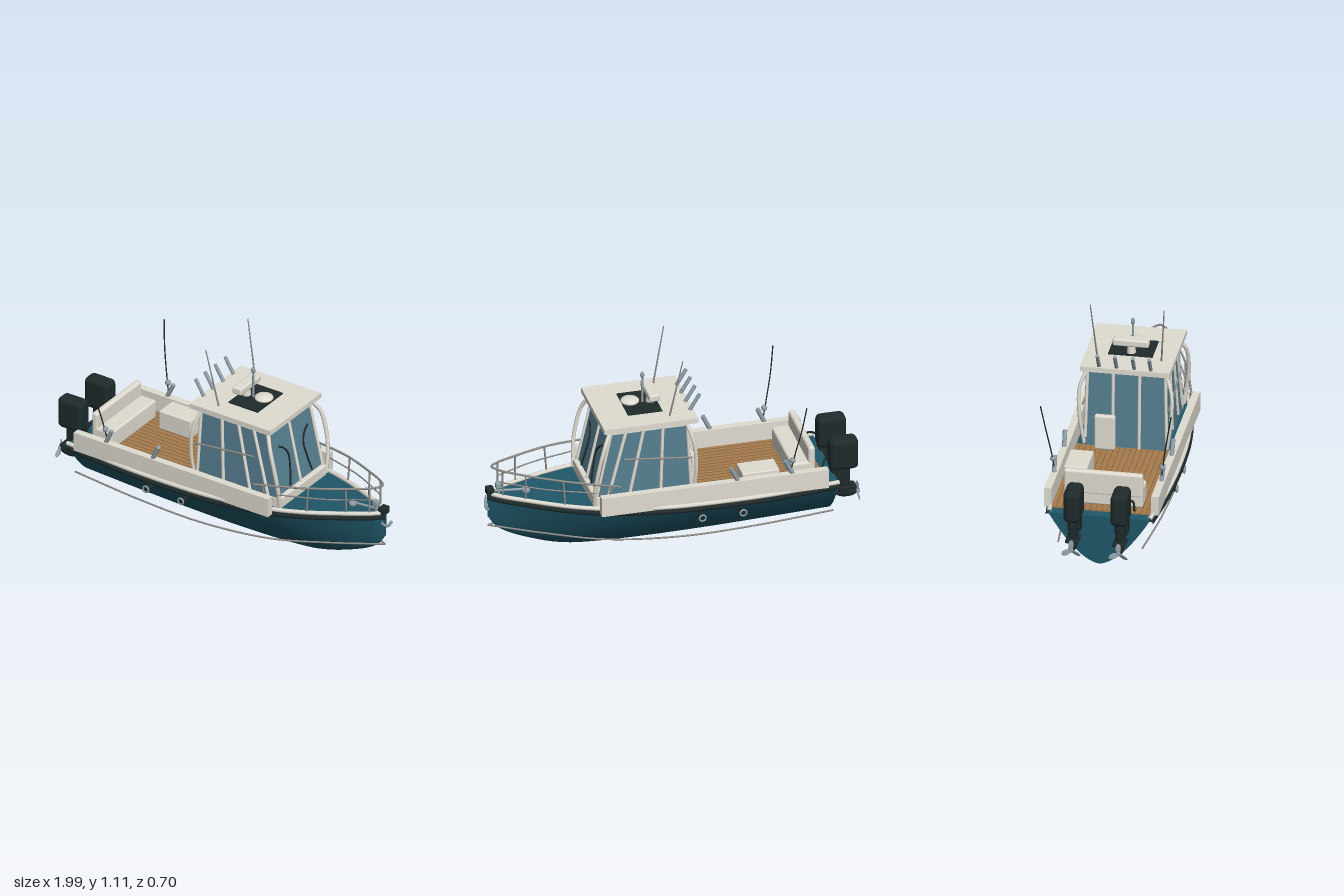
import * as THREE from 'three';
import { RoundedBoxGeometry } from 'three/addons/geometries/RoundedBoxGeometry.js';

const V = (x, y, z) => new THREE.Vector3(x, y, z);

export function createModel() {
  const boat = new THREE.Group();
  boat.name = 'motorBoat';
  const paint = (name, color, side = THREE.FrontSide) => {
    const m = new THREE.MeshStandardMaterial({ color, side });
    m.name = name;
    return m;
  };
  const teal = paint('hullTeal', 0x1f5769, THREE.DoubleSide);
  const white = paint('gelcoatWhite', 0xe0dcd2);
  const glass = paint('windowBlue', 0x567f90);
  const black = paint('black', 0x1f2a2b);
  const teak = paint('teak', 0xa67c4e);
  const seam = paint('teakSeam', 0x7d5a35);
  const metal = paint('metal', 0x8f9fa8);
  const rail = paint('railGrey', 0x8e8c88);

  // Helpers
  const add = (name, geo, mat, x = 0, y = 0, z = 0) => {
    const m = new THREE.Mesh(geo, mat);
    m.name = name;
    m.position.set(x, y, z);
    boat.add(m);
    return m;
  };
  // Box given by its minimum and maximum corners, optionally rounded
  const box = (name, mat, [x0, y0, z0], [x1, y1, z1], r = 0) => {
    const s = [x1 - x0, y1 - y0, z1 - z0];
    const g = r ? new RoundedBoxGeometry(...s, 3, r) : new THREE.BoxGeometry(...s);
    return add(name, g, mat, (x0 + x1) / 2, (y0 + y1) / 2, (z0 + z1) / 2);
  };
  // Straight cylinder between two points
  const rod = (name, mat, a, b, r, r2 = r) => {
    const d = b.clone().sub(a);
    const m = add(name, new THREE.CylinderGeometry(r2, r, d.length(), 12), mat);
    m.position.copy(a).add(b).multiplyScalar(0.5);
    m.quaternion.setFromUnitVectors(V(0, 1, 0), d.normalize());
    return m;
  };
  const tube = (name, mat, pts, r, n = 32) =>
    add(name, new THREE.TubeGeometry(new THREE.CatmullRomCurve3(pts), n, r, 8), mat);
  const ball = (name, mat, x, y, z, rx, ry = rx, rz = rx) => {
    const m = add(name, new THREE.SphereGeometry(1, 20, 14), mat, x, y, z);
    m.scale.set(rx, ry, rz);
    return m;
  };
  const bothSides = (fn) => [1, -1].forEach(fn);
  const mirrored = (pts) => [...pts, ...pts.slice(0, -1).reverse().map((p) => V(p.x, p.y, -p.z))];
  // Smooth surface from a function of u and v
  const grid = (fn, nu, nv) => {
    const pos = [], idx = [];
    for (let i = 0; i <= nu; i++) for (let j = 0; j <= nv; j++) {
      pos.push(...fn(i / nu, j / nv));
      if (i < nu && j < nv) {
        const a = i * (nv + 1) + j, b = a + nv + 1;
        idx.push(a, b, a + 1, b, b + 1, a + 1);
      }
    }
    const g = new THREE.BufferGeometry();
    g.setAttribute('position', new THREE.Float32BufferAttribute(pos, 3));
    g.setIndex(idx);
    g.computeVertexNormals();
    return g;
  };

  // Hull stations: x, half beam, sheer height, keel height
  const stations = [
    [-0.85, 0.27, 0.305, 0.03], [-0.5, 0.305, 0.303, 0.02], [-0.2, 0.315, 0.305, 0.01],
    [0.1, 0.305, 0.308, 0.003], [0.4, 0.26, 0.318, 0.002], [0.6, 0.2, 0.33, 0.02],
    [0.8, 0.11, 0.345, 0.085], [0.92, 0.05, 0.355, 0.15], [0.978, 0.006, 0.36, 0.225],
  ];
  const sheerPts = stations.map(([x, b, y]) => V(x, y, b));
  const sheer = new THREE.CatmullRomCurve3(sheerPts, false, 'catmullrom');
  const keel = new THREE.CatmullRomCurve3(stations.map(([x, , , k]) => V(x, k, 0)), false, 'catmullrom');
  const hullPoint = (u, s) => {
    const a = sheer.getPoint(u), k = Math.max(0, keel.getPoint(u).y);
    return [a.x, k + (a.y - k) * Math.abs(s) ** 1.667, a.z * s];
  };
  add('hull', grid((u, v) => hullPoint(u, 2 * v - 1), 48, 32), teal);
  add('deck', grid((u, v) => {
    const a = sheer.getPoint(u);
    return [a.x, a.y, a.z * (1 - 2 * v)];
  }, 48, 2), teal);
  add('transom', grid((u, v) => {
    const [x, y, z] = hullPoint(0, 1 - 2 * v);
    return [x, y + (0.305 - y) * u, z];
  }, 1, 32), teal);
  const shifted = (dy, dz) => sheerPts.map((p) => V(p.x, p.y + dy, p.z + dz));

  bothSides((s) => {
    const flip = (pts) => pts.map((p) => V(p.x, p.y, p.z * s));
    // Edge trims and bulwark
    tube('rubRail', black, flip(shifted(-0.018, 0.003)), 0.013, 64);
    tube('gunwale', white, flip(shifted(0.005, -0.004)), 0.012, 64);
    tube('sprayRail', rail, flip([V(-0.83, 0.122, 0.222), V(-0.4, 0.11, 0.255), V(0, 0.105, 0.26),
      V(0.4, 0.12, 0.215), V(0.7, 0.148, 0.12), V(0.978, 0.172, 0)]), 0.005, 48);
    const z0 = s > 0 ? 0.264 : -0.304;
    box('bulwark', white, [-0.785, 0.305, z0], [0.44, 0.413, z0 + 0.04]);

    // Portholes
    for (const x of [-0.32, -0.1]) {
      add('portholeRim', new THREE.TorusGeometry(0.017, 0.005, 8, 20), metal, x, 0.23, s * 0.318);
      rod('portholeGlass', black, V(x, 0.23, s * 0.27), V(x, 0.23, s * 0.319), 0.015);
    }

    // Rod holders and a fishing rod
    for (const x of [-0.595, -0.3])
      rod('rodHolder', metal, V(x, 0.405, s * 0.285), V(x + 0.04, 0.49, s * 0.287), 0.012);
    ball('rodReel', metal, -0.593, 0.49, s * 0.29, 0.016);
    tube('fishingRod', black, flip([V(-0.585, 0.43, 0.285), V(-0.605, 0.53, 0.297),
      V(-0.635, 0.68, 0.322), V(-0.655, 0.825, 0.347)]), 0.0035);

    // Cabin frame
    tube('frontFrame', white, flip([V(0.455, 0.33, 0.213), V(0.455, 0.44, 0.232), V(0.44, 0.55, 0.243),
      V(0.405, 0.68, 0.235), V(0.355, 0.765, 0.18)]), 0.011);
    tube('rearFrame', white, flip([V(-0.075, 0.33, 0.22), V(-0.085, 0.5, 0.243),
      V(-0.072, 0.65, 0.243), V(-0.035, 0.765, 0.2)]), 0.01);
    for (const [xb, xt] of [[-0.065, -0.045], [0.1, 0.085], [0.27, 0.185], [0.385, 0.28]])
      rod('windowPost', white, V(xb, 0.36, s * 0.216), V(xt, 0.76, s * 0.206), 0.009);
    rod('windscreenPost', white, V(0.444, 0.36, s * 0.205), V(0.356, 0.76, s * 0.198), 0.008);
    rod('grabRail', rail, V(-0.07, 0.55, s * 0.228), V(0.3, 0.585, s * 0.222), 0.005);
    tube('wiper', black, flip([V(0.445, 0.4, 0.1), V(0.428, 0.49, 0.078), V(0.41, 0.57, 0.07),
      V(0.398, 0.61, 0.095), V(0.39, 0.638, 0.138)]), 0.005);

    // Whip antenna
    rod('whipAntenna', rail, V(0.04, 0.78, s * 0.17), V(-0.025, 1.112, s * 0.196), 0.005, 0.003);

    // Bow rail posts
    for (const [u, h, x] of [[0.5, 0.46, 0.38], [0.63, 0.485, 0.62], [0.75, 0.5, 0.8], [0.86, 0.512, 0.91]]) {
      const p = sheer.getPoint(u);
      const z = Math.max(0.03, p.z - 0.004);
      rod('railPost', rail, V(p.x, p.y, z * s), V(x, h, s * { 0.5: 0.265, 0.63: 0.193, 0.75: 0.11, 0.86: 0.05 }[u]), 0.005);
    }
    tube('midRail', rail, flip([V(0.45, 0.413, 0.237), V(0.7, 0.425, 0.152), V(0.92, 0.437, 0.035)]), 0.004);

    // Outboard engine
    const z = s * 0.125;
    box('engineCowl', black, [-0.985, 0.315, z - 0.045], [-0.83, 0.495, z + 0.045], 0.028);
    box('engineLeg', black, [-0.942, 0.16, z - 0.022], [-0.885, 0.33, z + 0.022], 0.01);
    box('engineBracket', black, [-0.9, 0.23, z - 0.035], [-0.84, 0.33, z + 0.035], 0.008);
    box('cavitationPlate', black, [-0.975, 0.196, z - 0.035], [-0.875, 0.21, z + 0.035], 0.005);
    ball('gearcase', black, -0.928, 0.165, z, 0.06, 0.024, 0.022);
    tube('engineCable', black, [V(-0.84, 0.385, z), V(-0.81, 0.392, z + s * 0.02),
      V(-0.79, 0.375, z + s * 0.045), V(-0.785, 0.32, z + s * 0.05)], 0.006);
    rod('propellerHub', metal, V(-0.998, 0.165, z), V(-0.96, 0.165, z), 0.01, 0.014);
    for (let i = 0; i < 3; i++) {
      const a = (i * Math.PI * 2) / 3;
      const blade = ball('propellerBlade', metal, -0.985, 0.165 + Math.cos(a) * 0.03, z + Math.sin(a) * 0.03, 0.004, 0.028, 0.015);
      blade.rotation.set(a, 0.5, 0, 'XYZ');
    }
  });

  // Cockpit floor with plank seams
  box('cockpitFloor', teak, [-0.79, 0.29, -0.265], [-0.06, 0.313, 0.265]);
  for (let i = -8; i <= 8; i++)
    box('plankSeam', seam, [-0.79, 0.311, i * 0.03 - 0.0015], [-0.07, 0.314, i * 0.03 + 0.0015]);

  // Bench, locker and helm seat
  box('benchSeat', white, [-0.735, 0.313, -0.21], [-0.61, 0.42, 0.21], 0.012);
  box('benchBack', white, [-0.737, 0.37, -0.21], [-0.7, 0.505, 0.21], 0.014);
  box('locker', white, [-0.535, 0.313, -0.245], [-0.335, 0.42, -0.12], 0.006);
  box('rearSeatBack', white, [-0.113, 0.313, -0.16], [-0.08, 0.51, -0.05], 0.01);

  // Cabin: blocks that taper towards the top
  const taper = (name, mat, b, t) => {
    const g = new THREE.BoxGeometry(1, 1, 1), p = g.attributes.position;
    for (let i = 0; i < p.count; i++) {
      const [x0, x1, y, z] = p.getY(i) > 0 ? t : b;
      p.setXYZ(i, p.getX(i) > 0 ? x1 : x0, y, Math.sign(p.getZ(i)) * z);
    }
    g.computeVertexNormals();
    return add(name, g, mat);
  };
  taper('cabinGlass', glass, [-0.068, 0.448, 0.31, 0.214], [-0.045, 0.36, 0.73, 0.203]);
  taper('cabinHeader', white, [-0.047, 0.362, 0.73, 0.205], [-0.045, 0.355, 0.76, 0.203]);
  box('windscreenSill', white, [0.4, 0.31, -0.215], [0.46, 0.378, 0.215], 0.008);
  rod('windscreenCentrePost', white, V(0.444, 0.37, 0), V(0.36, 0.745, 0), 0.008);
  for (const z of [-0.07, 0.07])
    rod('rearDoorPost', white, V(-0.066, 0.313, z), V(-0.046, 0.76, z), 0.009);
  box('roof', white, [-0.098, 0.756, -0.238], [0.41, 0.784, 0.238]);

  // Roof equipment
  box('roofPanel', black, [0.065, 0.784, -0.118], [0.25, 0.79, 0.118]);
  rod('radarPedestal', white, V(0.1, 0.785, 0), V(0.1, 0.835, 0), 0.025, 0.02);
  box('radarArray', white, [0.07, 0.832, -0.096], [0.13, 0.872, 0.096], 0.01);
  ball('satelliteDome', white, 0.21, 0.807, 0, 0.05, 0.018, 0.05);
  rod('mast', metal, V(0.142, 0.785, 0), V(0.142, 0.94, 0), 0.007, 0.005);
  ball('mastLight', metal, 0.142, 0.95, 0, 0.011, 0.02, 0.011);
  for (const z of [-0.14, -0.047, 0.047, 0.135])
    rod('roofRodHolder', metal, V(-0.077, 0.785, z), V(-0.13, 0.872, z), 0.01);

  // Bow rail
  tube('bowRail', rail, mirrored([V(0.33, 0.455, 0.277), V(0.6, 0.483, 0.2), V(0.8, 0.5, 0.11),
    V(0.92, 0.512, 0.042), V(0.957, 0.518, 0)]), 0.006, 64);

  // Bow fittings
  box('bowRoller', black, [0.945, 0.355, -0.027], [0.985, 0.395, 0.027], 0.006);
  ball('windlass', metal, 0.77, 0.352, 0, 0.022);
  rod('anchorShank', metal, V(0.77, 0.358, 0), V(0.95, 0.372, 0), 0.007);
  box('bowCleat', metal, [0.9, 0.385, -0.015], [0.935, 0.418, 0.015], 0.006);
  rod('cleatStand', metal, V(0.917, 0.35, 0), V(0.917, 0.39, 0), 0.008);
  tube('anchor', metal, [V(0.972, 0.325, 0.04), V(0.984, 0.298, 0.02), V(0.988, 0.285, -0.005),
    V(0.98, 0.284, -0.05)], 0.008);

  return boat;
}
